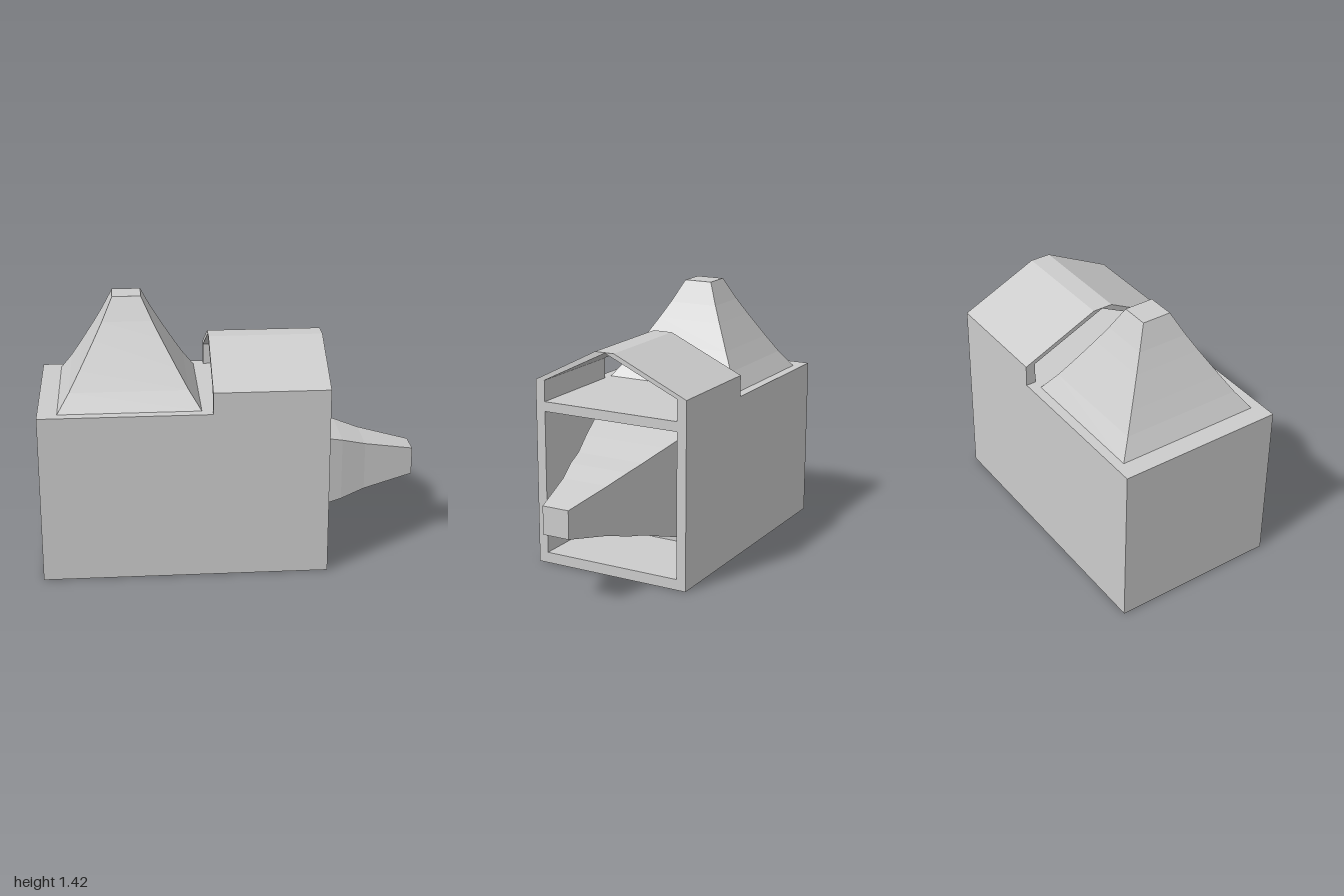
import * as THREE from 'three';

const material = new THREE.MeshStandardMaterial({ color: 0xcccccc, flatShading: true });

function addMesh(group, name, geometry) {
  const mesh = new THREE.Mesh(geometry, material);
  mesh.name = name;
  group.add(mesh);
  return mesh;
}

// Extrudes a cross-section (horizontal axis = -z, vertical = y) along x.
function extrudeAlongX(shape, x0, x1) {
  const g = new THREE.ExtrudeGeometry(shape, { depth: x1 - x0, bevelEnabled: false });
  return g.rotateY(Math.PI / 2).translate(x0, 0, 0);
}

const toPoints = (pairs) => pairs.map(([x, y]) => new THREE.Vector2(x, y));

// Four-sided tapering spout; profile lists [half width, height].
function squareSpout(profile) {
  const points = toPoints([...profile, [0, profile[profile.length - 1][1]]]);
  points.forEach((p) => { p.x *= Math.SQRT2; });
  const g = new THREE.LatheGeometry(points, 4, Math.PI / 4).toNonIndexed();
  g.computeVertexNormals();
  return g;
}

export function createModel() {
  const model = new THREE.Group();
  model.name = 'model';

  const backX = -1, frontX = 0.49, wallX = 0, roofX = -0.11;
  const half = 0.445, inner = 0.392, deck = 0.893, eave = 1.007, ridge = 1.195;

  // Solid rear of the body; its end closes the front chamber
  addMesh(model, 'rearBody', new THREE.BoxGeometry(wallX - backX, deck, half * 2)
    .translate((wallX + backX) / 2, deck / 2, 0));

  // Hollow chamber, open at the +x end
  const frame = new THREE.Shape(toPoints([[-half, 0], [half, 0], [half, deck], [-half, deck]]));
  frame.holes.push(new THREE.Path(toPoints([
    [-inner, 0.058], [-inner, 0.84], [inner, 0.84], [inner, 0.058]])));
  addMesh(model, 'chamber', extrudeAlongX(frame, wallX, frontX));

  // Upper walls and thin pitched roof, open at both ends
  const roof = new THREE.Shape(toPoints([
    [-half, deck], [-inner, deck], [-inner, eave], [-0.022, ridge - 0.003],
    [inner, eave], [inner, deck], [half, deck], [half, eave],
    [0.03, ridge], [-0.08, ridge], [-half, eave]]));
  addMesh(model, 'roof', extrudeAlongX(roof, roofX, frontX));

  // Upright flared chimney on the deck
  const chimney = squareSpout([
    [0.367, deck], [0.305, 0.985], [0.25, 1.08], [0.175, 1.215], [0.13, 1.3], [0.074, 1.418]]);
  addMesh(model, 'chimney', chimney.scale(1, 1, 1.065).translate(-0.532, 0, -0.003));

  // Horizontal flared spout reaching out of the chamber
  const spout = squareSpout([
    [0.341, wallX], [0.295, 0.15], [0.24, 0.34], [0.193, 0.49], [0.169, 0.6],
    [0.13, 0.73], [0.074, 1]]);
  addMesh(model, 'spout', spout.rotateZ(-Math.PI / 2).translate(0, 0.455, -0.004));

  return model;
}
